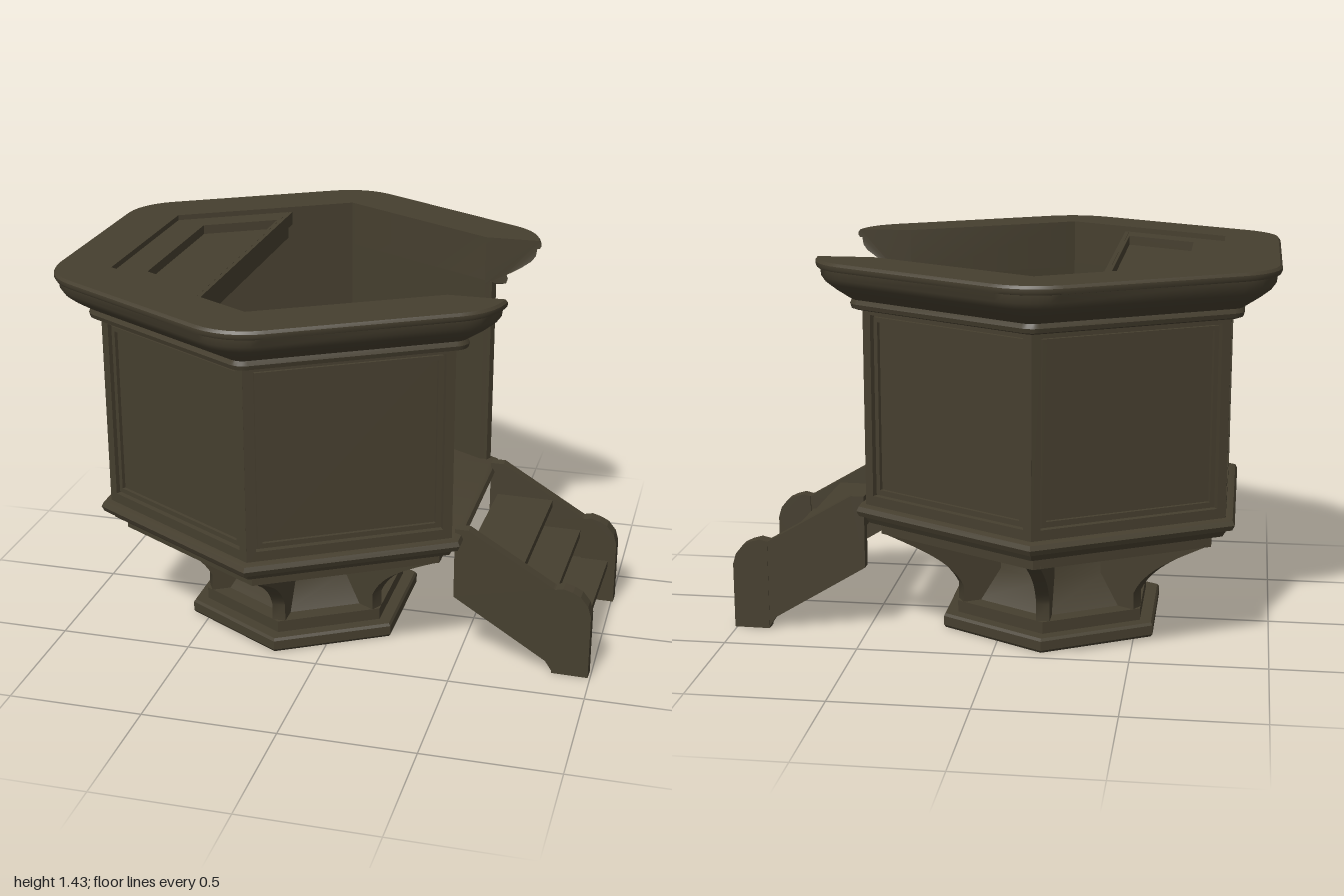
import * as THREE from 'three';
import { toCreasedNormals } from 'three/addons/utils/BufferGeometryUtils.js';

const wood = new THREE.MeshStandardMaterial({ color: 0x463f2f });
wood.name = 'dark wood';

const DOOR = 0.36; // half width of the opening on the +x side
const CX = -0.175; // axis of the hexagonal body
const rad = THREE.MathUtils.degToRad;

// Hexagon ring with apothem a and corner radius r, flat sides facing +x and -x
function ring(a, r, open) {
  const pts = [];
  const R = (a - r) / Math.cos(Math.PI / 6);
  for (let k = 0; k < 6; k++) {
    const c = rad(30 + 60 * k);
    for (let i = 0; i <= 6; i++) {
      const t = c + rad(-30 + 10 * i);
      let z = R * Math.sin(c) + r * Math.sin(t);
      if (open && k === 0) z = Math.max(z, DOOR);
      if (open && k === 5) z = Math.min(z, -DOOR);
      pts.push([R * Math.cos(c) + r * Math.cos(t), z]);
    }
  }
  if (!open) pts.push(pts[0]);
  return pts;
}

// Sweep a profile of [apothem, y] around the hexagon; an open sweep has a capped doorway
function hexSweep(profile, open, radius = () => 0) {
  const rings = profile.map(([a, y]) => ring(a, radius(a), open).map(([x, z]) => [x, y, z]));
  const pos = [];
  const tri = (a, b, c) => pos.push(...a, ...b, ...c);
  const last = open ? rings.length : rings.length - 1;
  const n = rings[0].length;
  for (let v = 0; v < last; v++) {
    const p = rings[v], q = rings[(v + 1) % rings.length];
    for (let u = 0; u < n - 1; u++) {
      tri(p[u], q[u], p[u + 1]);
      tri(p[u + 1], q[u], q[u + 1]);
    }
  }
  if (open) {
    const contour = profile.map(([a, y]) => new THREE.Vector2(a, y));
    for (const [i, j, k] of THREE.ShapeUtils.triangulateShape(contour, [])) {
      tri(rings[i][0], rings[k][0], rings[j][0]);
      tri(rings[i][n - 1], rings[j][n - 1], rings[k][n - 1]);
    }
  }
  const g = new THREE.BufferGeometry();
  g.setAttribute('position', new THREE.Float32BufferAttribute(pos, 3));
  return toCreasedNormals(g, 0.6);
}

function add(parent, name, geometry, x = 0, y = 0, z = 0) {
  const m = new THREE.Mesh(geometry, wood);
  m.name = name;
  m.position.set(x, y, z);
  parent.add(m);
  return m;
}

const poly = (pts) => new THREE.Shape(pts.map(([x, y]) => new THREE.Vector2(x, y)));
const extrude = (shape, depth) =>
  new THREE.ExtrudeGeometry(shape, { depth, bevelEnabled: false, curveSegments: 12 });
const rect = (w, y0, y1) => [[-w, y0], [w, y0], [w, y1], [-w, y1]];

function frame(outer, inner, depth) {
  const s = poly(outer);
  s.holes.push(poly(inner));
  return extrude(s, depth);
}

export function createModel() {
  const model = new THREE.Group();
  model.name = 'pulpit';
  const body = new THREE.Group();
  body.name = 'body';
  body.position.x = CX;
  model.add(body);

  // Foot: stepped hexagonal plinth and flared column
  add(body, 'plinth', hexSweep([
    [0, 0], [0.388, 0], [0.395, 0.01], [0.395, 0.045], [0.388, 0.055],
    [0.345, 0.055], [0.345, 0.1], [0, 0.1]], false));
  add(body, 'column', hexSweep([
    [0, 0.09], [0.285, 0.1], [0.215, 0.215], [0.215, 0.41], [0, 0.41]], false));

  // Curved brackets at the six corners
  const b = new THREE.Shape();
  b.moveTo(0.15, 0.1);
  b.lineTo(0.385, 0.1);
  b.lineTo(0.385, 0.165);
  b.bezierCurveTo(0.43, 0.26, 0.54, 0.32, 0.685, 0.4);
  b.lineTo(0.685, 0.41);
  b.lineTo(0.15, 0.41);
  const bracketGeo = extrude(b, 0.05).translate(0, 0, -0.025);
  for (let k = 0; k < 6; k++) {
    add(body, 'bracket', toCreasedNormals(bracketGeo, 0.5)).rotation.y = -rad(30 + 60 * k);
  }

  // Floor with its moulding
  add(body, 'floor', hexSweep([
    [0, 0.4], [0.605, 0.4], [0.605, 0.437], [0.645, 0.448], [0.66, 0.475],
    [0.68, 0.478], [0.688, 0.497], [0.68, 0.514], [0.66, 0.52], [0, 0.52]], false));

  // Walls, open on the stair side
  add(body, 'wall', hexSweep([
    [0.615, 0.51], [0.632, 0.51], [0.632, 1.26], [0.615, 1.26]], true));
  const frameGeo = frame(rect(0.378, 0.51, 1.255), rect(0.343, 0.557, 1.228), 0.025);
  const beadGeo = frame(rect(0.335, 0.565, 1.22), rect(0.318, 0.582, 1.203), 0.015);
  for (let k = 1; k < 6; k++) {
    const t = rad(60 * k);
    for (const [name, geo] of [['wallFrame', frameGeo], ['panelMoulding', beadGeo]]) {
      const m = add(body, name, geo, 0.63 * Math.cos(t), 0, 0.63 * Math.sin(t));
      m.rotation.y = Math.PI / 2 - t;
    }
  }

  // Cornice and hand rail, corners rounder the further they reach out
  add(body, 'cornice', hexSweep([
    [0.615, 1.245], [0.675, 1.245], [0.695, 1.252], [0.7, 1.268], [0.693, 1.284],
    [0.71, 1.294], [0.755, 1.322], [0.79, 1.348], [0.806, 1.37], [0.81, 1.398],
    [0.82, 1.4], [0.825, 1.408], [0.825, 1.42], [0.817, 1.43], [0.615, 1.43]],
    true, (a) => Math.max(0, (a - 0.655) * 1.43)));

  // Reading desk filling the far end, with a sunken book rest and a front lip
  const flat = (geo) => geo.rotateX(Math.PI / 2); // shape (x, z), thickness downwards
  const deskOutline = [[-0.615, -0.355], [-0.23, -0.577], [-0.23, 0.577], [-0.615, 0.355]];
  const restOutline = [[-0.495, -0.31], [-0.24, -0.457], [-0.24, 0.457], [-0.495, 0.31]];
  add(body, 'desk', flat(extrude(poly(deskOutline), 0.07)), 0, 1.375, 0);
  add(body, 'deskFrame', flat(frame(deskOutline, restOutline, 0.035)), 0, 1.41, 0);
  add(body, 'deskLip', new THREE.BoxGeometry(0.015, 0.05, 1.17), -0.222, 1.385, 0);

  // Stairs, turned very slightly
  const stairs = new THREE.Group();
  stairs.name = 'stairs';
  stairs.position.x = 0.5;
  stairs.rotation.y = -0.025;
  model.add(stairs);
  const side = poly([[-0.01, 0.26], [0.34, 0.045], [0.37, 0], [0.4, 0], [0.4, 0.33],
    [0.36, 0.345], [0.04, 0.535], [-0.01, 0.535]]);
  const newel = poly([[0.365, 0], [0.5, 0], [0.5, 0.25], [0.488, 0.29], [0.46, 0.325],
    [0.43, 0.34], [0.395, 0.35], [0.365, 0.343]]);
  for (const s of [-1, 1]) {
    add(stairs, 'stringer', extrude(side, 0.042), 0, 0, s * 0.314 - 0.021);
    add(stairs, 'newel', extrude(newel, 0.052), 0, 0, s * 0.311 - 0.026);
  }
  for (let i = 0; i < 3; i++) {
    add(stairs, 'tread', new THREE.BoxGeometry(0.22, 0.03, 0.6), 0.36 - 0.115 * i, 0.16 + 0.115 * i, 0);
  }
  return model;
}
